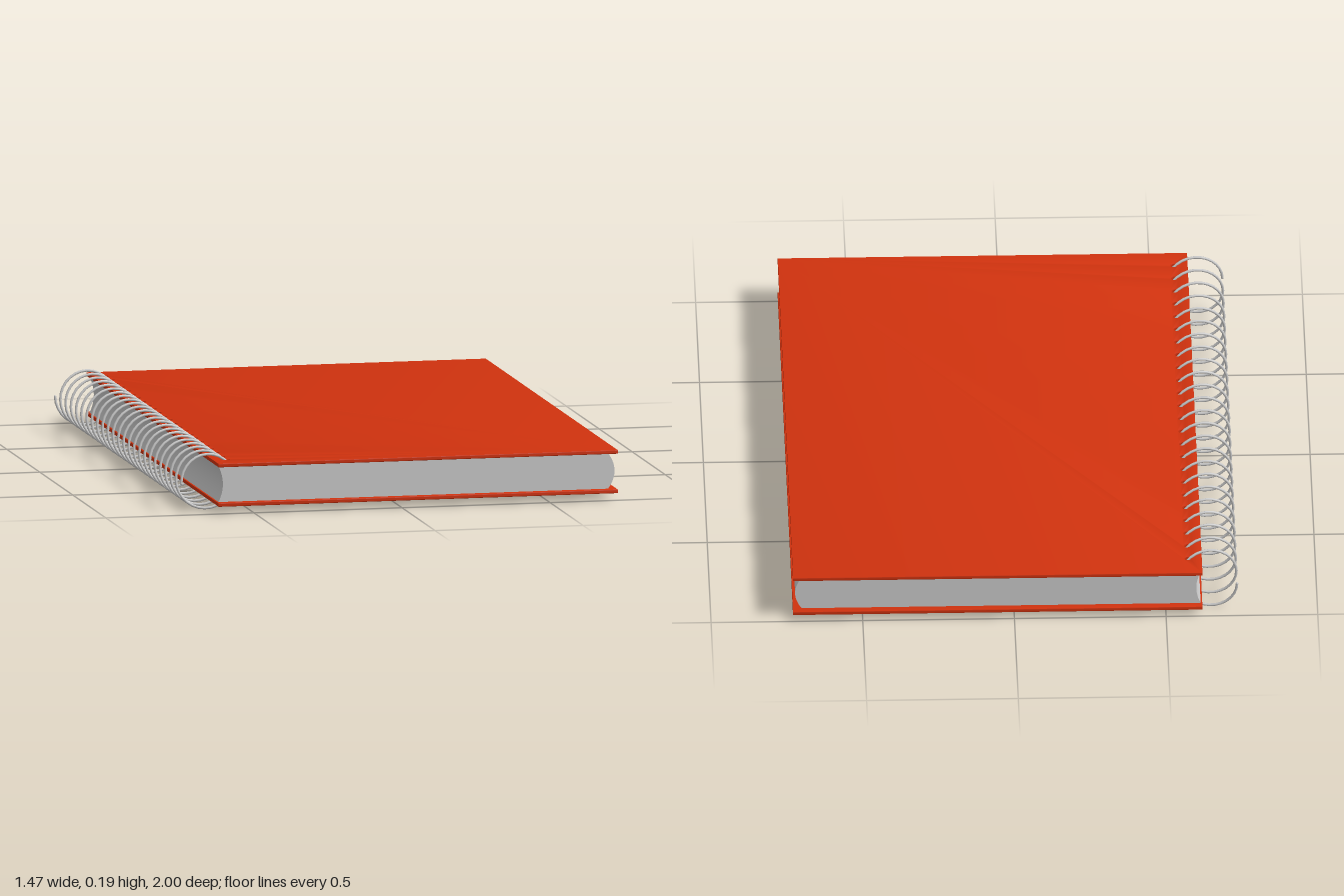
import * as THREE from 'three';
import { toCreasedNormals } from 'three/addons/utils/BufferGeometryUtils.js';

const TURNS = 24, Z0 = -0.957, Z1 = 0.953, PITCH = (Z1 - Z0) / TURNS;
const COIL_X = -0.642, COIL_Y = 0.0975, COIL_R = 0.093, WIRE = 0.0045;

// Helix along z, starting at the outer side and passing underneath first
class Coil extends THREE.Curve {
  getPoint(t, target = new THREE.Vector3()) {
    const a = Math.PI + t * TURNS * Math.PI * 2;
    return target.set(
      COIL_X + COIL_R * Math.cos(a),
      COIL_Y + COIL_R * Math.sin(a),
      THREE.MathUtils.lerp(Z0, Z1, t)
    );
  }
}

// Thin cover with a row of holes for the wire; phase is the part of a turn at each hole
function coverGeometry(phase) {
  const b = 0.003, x0 = -0.62 + b, x1 = 0.73 - b, h = 1 - b;
  const shape = new THREE.Shape([
    new THREE.Vector2(x0, -h), new THREE.Vector2(x1, -h),
    new THREE.Vector2(x1, h), new THREE.Vector2(x0, h),
  ]);
  for (let i = 0; i < TURNS; i++) {
    const z = Z0 + (i + phase) * PITCH;
    const hole = new THREE.Path();
    hole.absarc(-0.573, -z, 0.013, 0, Math.PI * 2, true);
    shape.holes.push(hole);
  }
  const geo = new THREE.ExtrudeGeometry(shape, {
    depth: 0.007, bevelEnabled: true, bevelThickness: b, bevelSize: b, bevelSegments: 2, curveSegments: 5,
  });
  geo.rotateX(-Math.PI / 2).translate(0, -0.0035, 0);
  return toCreasedNormals(geo, 0.6);
}

export function createModel() {
  const model = new THREE.Group();
  model.name = 'spiralNotebook';
  const red = new THREE.MeshStandardMaterial({ color: 0xd0320e });
  const grey = new THREE.MeshStandardMaterial({ color: 0xcccccc });

  const add = (name, geo, mat, y = 0) => {
    const mesh = new THREE.Mesh(geo, mat);
    mesh.name = name;
    mesh.position.y = y;
    model.add(mesh);
  };

  // Covers
  add('frontCover', coverGeometry(0.61), red, 0.1615);
  add('backCover', coverGeometry(0.39), red, 0.03);

  // Page block: hollow at the spine, bulging at the fore edge
  const bottom = 0.0355, top = 0.156, mid = (bottom + top) / 2;
  const section = new THREE.Shape();
  section.moveTo(-0.615, bottom);
  section.lineTo(0.7, bottom);
  section.quadraticCurveTo(0.745, mid, 0.7, top);
  section.lineTo(-0.615, top);
  section.quadraticCurveTo(-0.585, mid, -0.615, bottom);
  const pages = new THREE.ExtrudeGeometry(section, { depth: 1.955, bevelEnabled: false, curveSegments: 12 });
  pages.translate(0, 0, -0.9765);
  add('pages', toCreasedNormals(pages, 0.5), grey);

  // Wire binding
  add('spiralBinding', new THREE.TubeGeometry(new Coil(), TURNS * 28, WIRE, 8), grey);

  // Rounded wire ends
  for (const z of [Z0, Z1]) {
    const end = new THREE.SphereGeometry(WIRE, 8, 6);
    end.translate(COIL_X - COIL_R, COIL_Y, z);
    add('wireEnd', end, grey);
  }
  return model;
}
